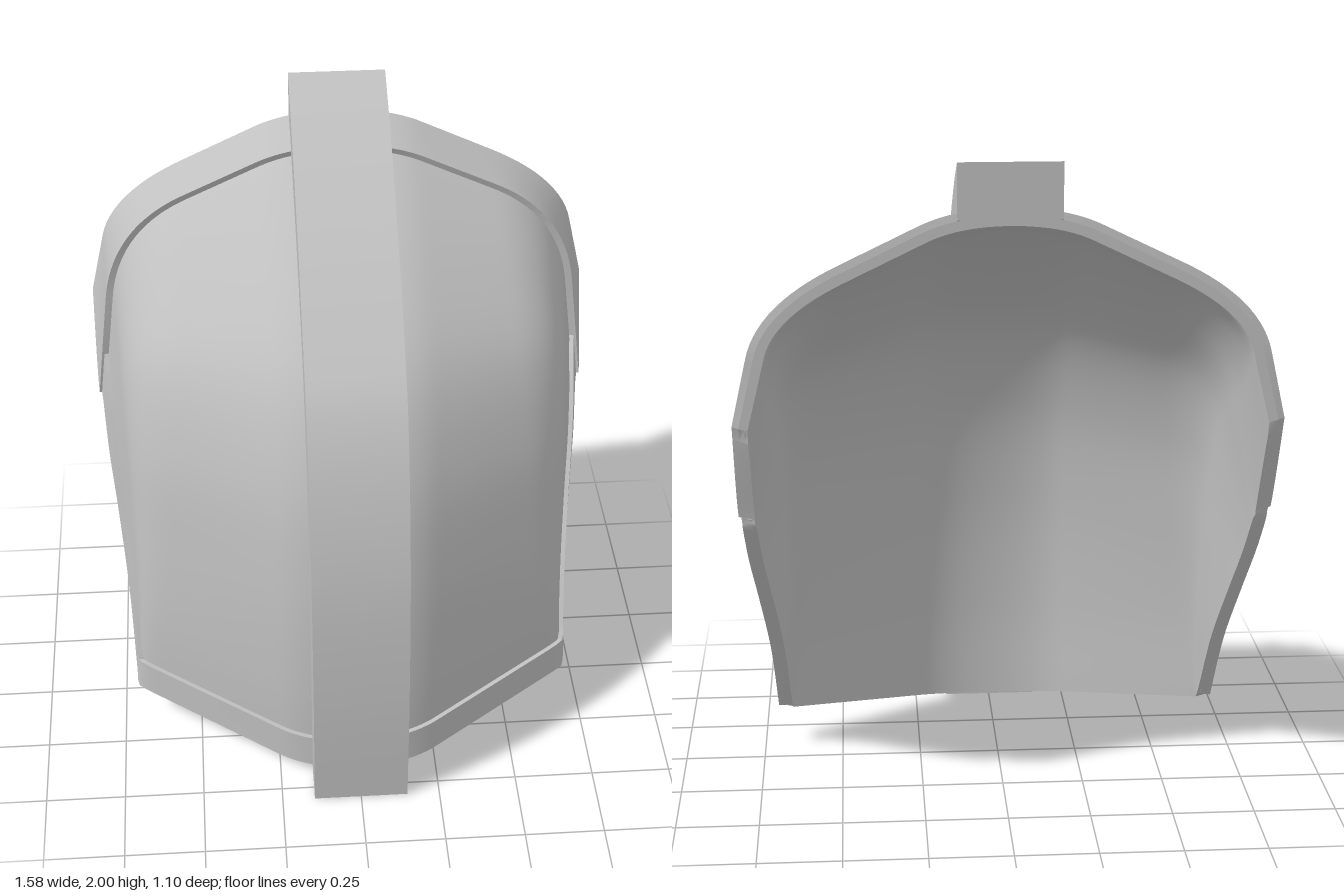
import * as THREE from 'three';
import { toCreasedNormals } from 'three/addons/utils/BufferGeometryUtils.js';

const V = (x, y, z) => new THREE.Vector3(x, y, z);
const spline = (pts) => new THREE.CatmullRomCurve3(pts.map((p) => V(...p)), false, 'centripetal');

// Guide rails, station 0 (bottom edge) to station 7 (back edge)
const LAST = 7;
const crest = spline([
  [0, 0.035, 0.44], [0, 0.35, 0.44], [0, 0.75, 0.41], [0, 1.1, 0.335],
  [0, 1.38, 0.19], [0, 1.6, -0.06], [0, 1.805, -0.41], [0, 1.85, -0.55]]);
const corner = spline([
  [0.69, 0.13, 0.12], [0.675, 0.42, 0.12], [0.67, 0.72, 0.09], [0.67, 1.02, 0.04],
  [0.675, 1.28, -0.07], [0.68, 1.44, -0.24], [0.69, 1.55, -0.41], [0.69, 1.59, -0.55]]);
const edge = spline([
  [0.69, 0.14, 0.09], [0.705, 0.4, -0.06], [0.73, 0.62, -0.21], [0.75, 0.77, -0.31],
  [0.758, 0.86, -0.37], [0.762, 0.91, -0.4], [0.765, 0.94, -0.41], [0.77, 1.25, -0.55]]);

// Half cross-section at station v: flat crest, sloping front, rounded corner, side
function section(v) {
  const t = v / LAST, c = crest.getPoint(t), k = corner.getPoint(t), e = edge.getPoint(t);
  const flat = c.clone().setX(0.15);
  const f = THREE.MathUtils.lerp(0.92, 0.6, Math.min(1, v / 6));
  const a = flat.clone().lerp(k, 0.18), b = flat.clone().lerp(k, f), d = e.clone().lerp(k, f);
  const path = new THREE.CurvePath();
  path.add(new THREE.QuadraticBezierCurve3(c, flat, a));
  path.add(new THREE.LineCurve3(a, b));
  path.add(new THREE.QuadraticBezierCurve3(b, k, d));
  path.add(new THREE.LineCurve3(d, e));
  return path;
}

// Solid plate over part of the shell; range(path, v) gives the span across, -1 to 1
function plate(nu, nv, v0, v1, range, outer, inner) {
  const pts = [], index = [], row = nu + 1;
  for (let j = 0; j <= nv; j++) {
    const v = v0 + (v1 - v0) * j / nv, path = section(v), [q0, q1] = range(path, v);
    for (let i = 0; i <= nu; i++) {
      const q = q0 + (q1 - q0) * i / nu;
      const p = path.getPoint(Math.min(1, Math.abs(q)));
      if (q < 0) p.x = -p.x;
      pts.push(p);
    }
  }
  for (let j = 0; j < nv; j++) for (let i = 0; i < nu; i++) {
    const a = j * row + i;
    index.push(a, a + 1, a + row, a + 1, a + row + 1, a + row);
  }
  const mid = new THREE.BufferGeometry().setFromPoints(pts);
  mid.setIndex(index);
  mid.computeVertexNormals();
  const shifted = (d) => pts.map((p, i) => {
    const r = V(0, 0, 0).fromBufferAttribute(mid.attributes.normal, i).multiplyScalar(d).add(p);
    r.z = Math.max(r.z, -0.55);
    return r;
  });
  const verts = [...shifted(outer), ...shifted(inner)], n = pts.length, faces = index.slice();
  for (let i = 0; i < index.length; i += 3) faces.push(index[i] + n, index[i + 2] + n, index[i + 1] + n);
  // walls around the border
  const loop = [];
  for (let i = 0; i < nu; i++) loop.push(i);
  for (let j = 0; j < nv; j++) loop.push(j * row + nu);
  for (let i = nu; i > 0; i--) loop.push(nv * row + i);
  for (let j = nv; j > 0; j--) loop.push(j * row);
  loop.forEach((p, i) => {
    const r = loop[(i + 1) % loop.length], s = verts.length;
    verts.push(...[p, p + n, r + n, r].map((k) => verts[k].clone()));
    faces.push(s, s + 1, s + 2, s, s + 2, s + 3);
  });
  const g = new THREE.BufferGeometry().setFromPoints(verts);
  g.setIndex(faces);
  g.computeVertexNormals();
  return g;
}

// Thick band following the crest
function bandGeometry() {
  const outline = new THREE.SplineCurve([
    [0.55, 0], [0.55, 0.4], [0.517, 0.8], [0.44, 1.12], [0.335, 1.35], [0.2, 1.5],
    [0, 1.675], [-0.2, 1.815], [-0.38, 1.92], [-0.55, 2]].map((p) => new THREE.Vector2(...p)));
  const inside = crest.getPoints(40).reverse()
    .map((p) => new THREE.Vector2(Math.max(-0.55, p.z - 0.014), p.y - 0.012));
  inside[0].x = -0.55;
  const shape = new THREE.Shape([...outline.getPoints(54), ...inside]);
  const g = new THREE.ExtrudeGeometry(shape, { depth: 0.296, bevelEnabled: false, steps: 1 });
  g.translate(0, 0, -0.148);
  g.rotateY(-Math.PI / 2);
  return toCreasedNormals(g, 0.5);
}

export function createModel() {
  const group = new THREE.Group();
  const grey = new THREE.MeshStandardMaterial({ color: 0xc0c0c0 });
  grey.name = 'plain grey';
  const add = (name, geometry) => {
    const mesh = new THREE.Mesh(geometry, grey);
    mesh.name = name;
    group.add(mesh);
  };
  const full = () => [-1, 1];
  // width of the side rim as a fraction of the half section
  const inset = (path, v) => 1 - THREE.MathUtils.lerp(0.08, 0.15, v / 6) / path.getLength();

  add('shellPanel', plate(96, 56, 0, 7, full, 0, -0.03));
  add('bottomRim', plate(96, 6, 0, 0.38, full, 0.014, -0.02));
  add('leftSideRim', plate(6, 40, 0.1, 6, (p, v) => [inset(p, v), 1], 0.014, -0.02));
  add('rightSideRim', plate(6, 40, 0.1, 6, (p, v) => [-1, -inset(p, v)], 0.014, -0.02));
  add('backArchRim', plate(96, 8, 6, 7, full, 0.022, -0.02));
  add('crestBand', bandGeometry());
  return group;
}
